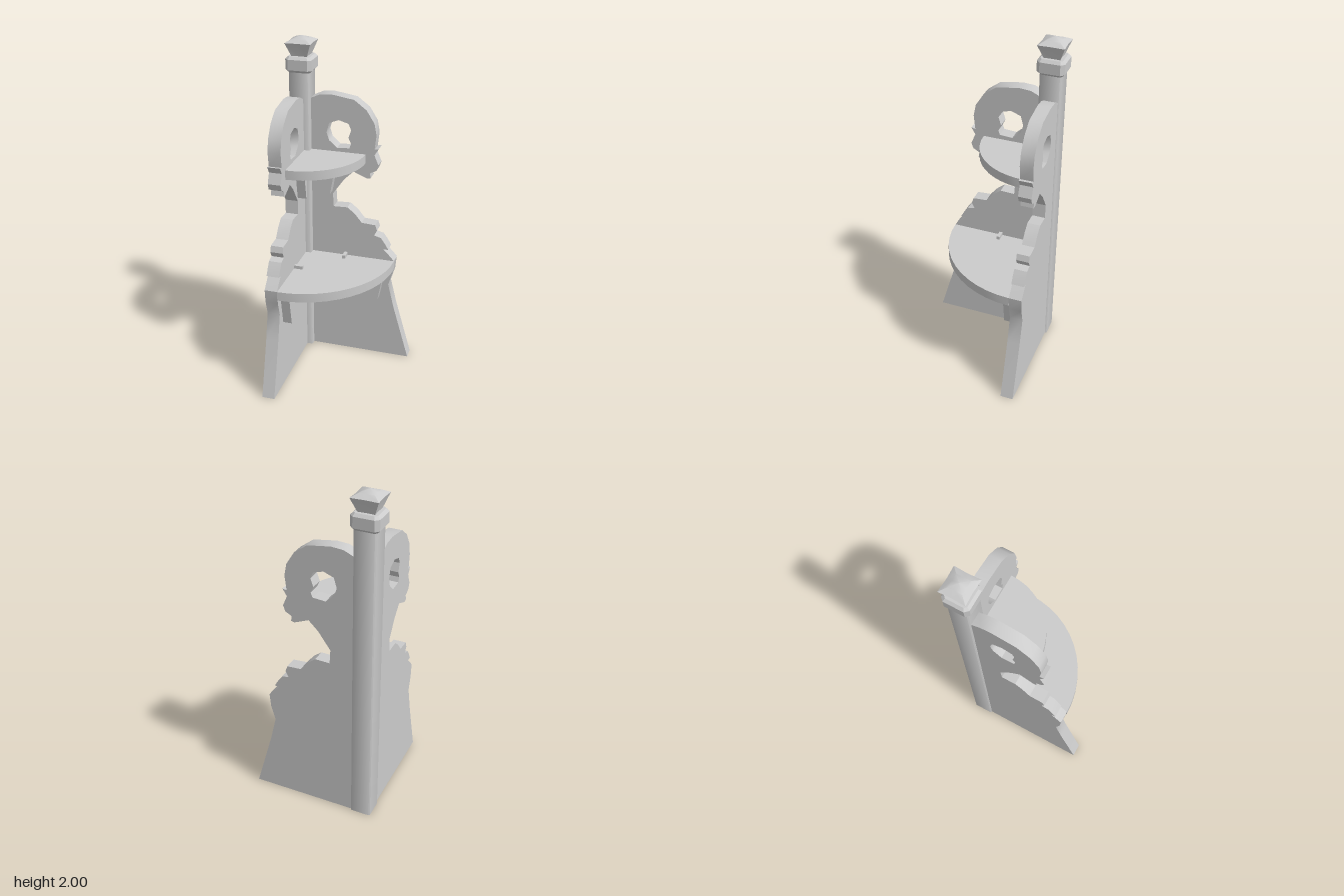
import * as THREE from 'three';
import { toCreasedNormals } from 'three/addons/utils/BufferGeometryUtils.js';

const material = new THREE.MeshStandardMaterial({ color: 0xcccccc });

function addMesh(parent, name, geometry, crease = 0.6) {
  const mesh = new THREE.Mesh(toCreasedNormals(geometry, crease), material);
  mesh.name = name;
  parent.add(mesh);
  return mesh;
}

const shapeOf = (pts) => new THREE.Shape(pts.map(([x, y]) => new THREE.Vector2(x, y)));

// Square outline with cut corners
function squareShape(h, c) {
  return shapeOf([[-h + c, -h], [h - c, -h], [h, -h + c], [h, h - c],
    [h - c, h], [-h + c, h], [-h, h - c], [-h, -h + c]]);
}

// Horizontal slab between two heights; the shape is drawn in x and -z
function slab(shape, y0, y1, options = {}) {
  const g = new THREE.ExtrudeGeometry(shape, { depth: y1 - y0, bevelEnabled: false, ...options });
  return g.rotateX(-Math.PI / 2).translate(0, y0, 0);
}

// Side outline of a panel, from its foot up to the rounded head
const OUTLINE = [
  [-0.28, 0], [0.38, 0], [0.28, 0.35], [0.243, 0.503], [0.268, 0.59], [0.275, 0.67],
  [0.243, 0.705], [0.208, 0.74], [0.237, 0.742], [0.215, 0.78], [0.19, 0.815],
  [0.148, 0.826], [0.165, 0.86], [0.153, 0.895], [0.07, 0.90], [0.026, 0.954],
  [-0.02, 0.99], [-0.105, 0.987], [-0.11, 1.07], [-0.04, 1.17], [0.016, 1.225],
  [0.10, 1.19], [0.12, 1.195], [0.115, 1.225], [0.153, 1.245], [0.165, 1.28],
  [0.14, 1.34], [0.165, 1.38], [0.14, 1.375], [0.15, 1.46], [0.137, 1.53],
  [0.09, 1.605], [0.016, 1.66], [-0.116, 1.68], [-0.185, 1.675], [-0.24, 1.65], [-0.28, 1.64],
];
const HOLE = [
  [-0.132, 1.51], [-0.074, 1.532], [-0.016, 1.515], [0, 1.478], [-0.016, 1.43],
  [0, 1.394], [-0.01, 1.367], [-0.085, 1.362], [-0.132, 1.404], [-0.148, 1.452],
];

// One wing: panel, brackets and pegs; the mirrored wing turns towards +z
function buildWing(mirrored) {
  const wing = new THREE.Group();
  wing.name = mirrored ? 'rightWing' : 'backWing';
  const part = (name, shape, d0, d1) => {
    const g = new THREE.ExtrudeGeometry(shape, { depth: d1 - d0, bevelEnabled: false });
    g.translate(0.30, 0, mirrored ? -d1 : d0);
    addMesh(wing, name, g);
  };

  const panel = shapeOf(OUTLINE);
  panel.holes.push(new THREE.Path(HOLE.map(([x, y]) => new THREE.Vector2(x, y))));
  part('panel', panel, -0.05, 0.025);

  // Tapered brackets under both shelves
  for (const [x, top] of [[0.175, 0.615], [-0.127, 1.285]]) {
    part('shelfBracket', shapeOf([[x + 0.005, top - 0.195], [x + 0.015, top - 0.195],
      [x + 0.05, top], [x, top]]), 0.024, 0.078);
  }
  // Peg at the lower shelf
  part('shelfPeg', shapeOf([[-0.037, 0.595], [-0.017, 0.595], [-0.017, 0.69], [-0.037, 0.69]]), 0.024, 0.078);

  if (mirrored) wing.rotation.y = -Math.PI / 2;
  return wing;
}

// Four-cornered finial: diagonal vertices pushed out to the corners
function finialGeometry() {
  const profile = [[0, 1.87], [0.043, 1.87], [0.046, 1.89], [0.075, 1.966], [0.04, 1.985], [0, 2]];
  const g = new THREE.LatheGeometry(profile.map(([x, y]) => new THREE.Vector2(x, y)), 8);
  const p = g.attributes.position;
  for (let i = 0; i < p.count; i++) {
    const x = p.getX(i), z = p.getZ(i);
    const diagonal = Math.min(Math.abs(x), Math.abs(z)) > 1e-4;
    const k = diagonal ? Math.SQRT2 : 0.95;
    p.setX(i, x * k);
    p.setZ(i, z * k);
  }
  return g;
}

export function createModel() {
  const model = new THREE.Group();
  model.name = 'cornerShelf';

  // Everything is laid out around the axis of the corner post
  const body = new THREE.Group();
  body.name = 'shelfBody';
  body.position.set(-0.30, 0, -0.32);
  model.add(body);

  addMesh(body, 'cornerPost', slab(squareShape(0.06, 0.006), 0, 1.82), 0.9);

  // Chamfered collar and finial on the post
  addMesh(body, 'postCollar', slab(squareShape(0.063, 0.012), 1.815, 1.875, {
    bevelEnabled: true, bevelSegments: 1, bevelSize: 0.015, bevelThickness: 0.015,
  }), 0.3);
  addMesh(body, 'finial', finialGeometry(), 0.75);

  body.add(buildWing(false), buildWing(true));

  // Quarter-round shelves
  for (const [name, radius, y0, y1] of [['lowerShelf', 0.55, 0.615, 0.67], ['upperShelf', 0.363, 1.285, 1.34]]) {
    const pts = [[0.02, -0.02]];
    const n = 12;
    for (let i = 0; i <= n; i++) {
      const a = -Math.PI / 2 + (i / n) * (Math.PI / 2);
      pts.push([0.025 + radius * Math.cos(a), -0.025 + radius * Math.sin(a)]);
    }
    addMesh(body, name, slab(shapeOf(pts), y0, y1));
  }
  return model;
}
